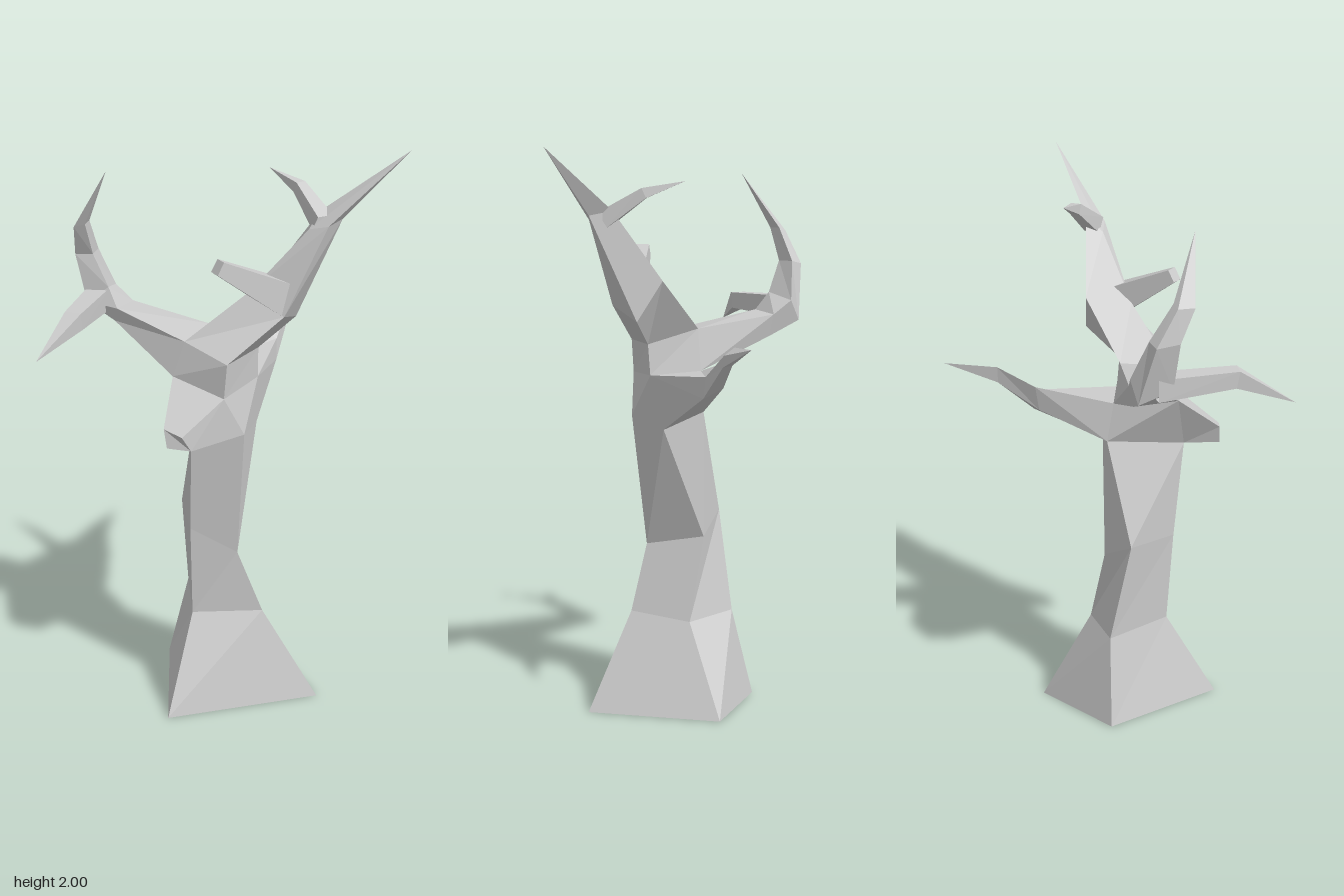
import * as THREE from 'three';

const material = new THREE.MeshStandardMaterial({ color: 0xcccccc, flatShading: true, side: THREE.DoubleSide });

// Skin a row of four-cornered rings; the start stays open, a tip is a ring of one point.
function limb(name, rings) {
  const tris = [];
  const full = rings.map((r) => (r.length === 1 ? [r[0], r[0], r[0], r[0]] : r));
  const end = rings[rings.length - 1];
  for (let i = 0; i + 1 < full.length; i++) {
    const a = full[i], b = full[i + 1];
    for (let j = 0; j < 4; j++) {
      const k = (j + 1) % 4;
      tris.push([a[j], a[k], b[k]]);
      if (rings[i + 1].length > 1) tris.push([a[j], b[k], b[j]]);
    }
  }
  if (end.length > 1) tris.push([end[0], end[1], end[2]], [end[0], end[2], end[3]]);

  // Turn the faces outward if the rings run the other way round.
  const origin = new THREE.Vector3(...full[0][0]);
  const v = (p) => new THREE.Vector3(...p).sub(origin);
  const volume = tris.reduce((sum, [a, b, c]) => sum + v(a).dot(v(b).cross(v(c))), 0);
  const points = tris.flatMap(([a, b, c]) => (volume < 0 ? [a, c, b] : [a, b, c]));
  const geometry = new THREE.BufferGeometry();
  geometry.setAttribute('position', new THREE.Float32BufferAttribute(points.flat(), 3));
  geometry.computeVertexNormals();
  const mesh = new THREE.Mesh(geometry, material);
  mesh.name = name;
  return mesh;
}

// Square-sectioned twig along a path of [x, y, z, radius]; radius 0 makes a point.
function twig(name, path) {
  const pts = path.map((p) => new THREE.Vector3(p[0], p[1], p[2]));
  const up = new THREE.Vector3(0, 1, 0);
  return limb(name, path.map((p, i) => {
    if (p[3] === 0) return [pts[i].toArray()];
    const dir = pts[Math.min(i + 1, pts.length - 1)].clone().sub(pts[Math.max(i - 1, 0)]).normalize();
    const side = dir.clone().cross(up).normalize();
    const top = side.clone().cross(dir);
    return [0, 1, 2, 3].map((k) => {
      const a = Math.PI / 4 + (k * Math.PI) / 2;
      return pts[i].clone().addScaledVector(side, p[3] * Math.cos(a)).addScaledVector(top, p[3] * Math.sin(a)).toArray();
    });
  }));
}

export function createModel() {
  const tree = new THREE.Group();
  tree.name = 'bareTree';

  // Rings shared by the trunk and the limbs
  const collar = [[-0.11, 1.04, 0.3], [0.07, 1.05, 0.29], [0.12, 1.02, 0.1], [-0.02, 1.075, 0.03]];
  const crown = [[-0.17, 1.24, 0.23], [0, 1.2, 0.34], [0.12, 1.21, 0.16], [-0.03, 1.22, 0.05]];
  const fork = [[-0.13, 1.36, 0.22], [0.01, 1.32, 0.34], [0.12, 1.32, 0.17], [-0.04, 1.37, 0.07]];

  // Flared trunk, open underneath, bending up to the fork
  tree.add(limb('trunk', [
    [[-0.2, 0, 0.41], [0.34, 0, 0.275], [0.13, 0, -0.16], [-0.2, 0, -0.06]],
    [[-0.11, 0.335, 0.24], [0.14, 0.34, 0.24], [0.075, 0.32, 0.02], [-0.125, 0.33, -0.02]],
    [[-0.115, 0.68, 0.26], [0.05, 0.575, 0.24], [-0.014, 0.62, 0.025], [-0.145, 0.695, 0.055]],
    collar, crown, fork,
  ]));

  // Tall limb with a side twig and a broken stub
  tree.add(limb('tallLimb', [
    fork,
    [[0.09, 1.53, 0.2], [0.2, 1.46, 0.265], [0.25, 1.41, 0.11], [0.17, 1.55, 0.06]],
    [[0.28, 1.74, 0.2], [0.34, 1.76, 0.245], [0.39, 1.775, 0.2], [0.32, 1.79, 0.155]],
    [[0.605, 2, 0.2]],
  ]));
  tree.add(twig('tallLimbTwig', [[0.325, 1.76, 0.19, 0.042], [0.255, 1.85, 0.07, 0.026], [0.16, 1.89, -0.035, 0]]));
  tree.add(twig('brokenStub', [[0.2, 1.505, 0.195, 0.08], [-0.02, 1.645, 0.305, 0.033]]));

  // Side limb, curling upward to a point, with a forward twig at the elbow
  tree.add(limb('sideLimb', [
    [crown[0], crown[3], fork[3], fork[0]],
    [[-0.37, 1.37, 0.03], [-0.31, 1.33, -0.05], [-0.31, 1.41, -0.07], [-0.36, 1.42, 0.05]],
    [[-0.465, 1.43, 0], [-0.42, 1.385, -0.105], [-0.37, 1.46, -0.105], [-0.39, 1.485, 0.01]],
    [[-0.5, 1.6, 0], [-0.475, 1.59, -0.075], [-0.425, 1.6, -0.07], [-0.44, 1.6, 0]],
    [[-0.498, 1.71, 0.055], [-0.48, 1.71, 0], [-0.448, 1.72, 0.005], [-0.46, 1.72, 0.055]],
    [[-0.38, 1.92, 0.13]],
  ]));
  tree.add(twig('forwardTwig', [
    [-0.42, 1.435, -0.04, 0.055], [-0.495, 1.44, 0.23, 0.042], [-0.61, 1.355, 0.39, 0],
  ]));

  // Pointed limb at the back
  tree.add(limb('backLimb', [
    [crown[3], crown[2], collar[2], collar[3]],
    [[0.11, 1.284, -0.185], [0.2, 1.235, -0.15], [0.2, 1.16, -0.14], [0.12, 1.19, -0.165]],
    [[0.21, 1.345, -0.28], [0.248, 1.32, -0.265], [0.248, 1.28, -0.26], [0.215, 1.285, -0.275]],
    [[0.32, 1.355, -0.43]],
  ]));

  // Short cut-off stump at the front
  tree.add(limb('frontStump', [
    [crown[0], crown[1], collar[1], collar[0]],
    [[-0.2, 1.115, 0.39], [-0.14, 1.1, 0.43], [-0.11, 1.045, 0.415], [-0.19, 1.05, 0.4]],
  ]));

  return tree;
}
